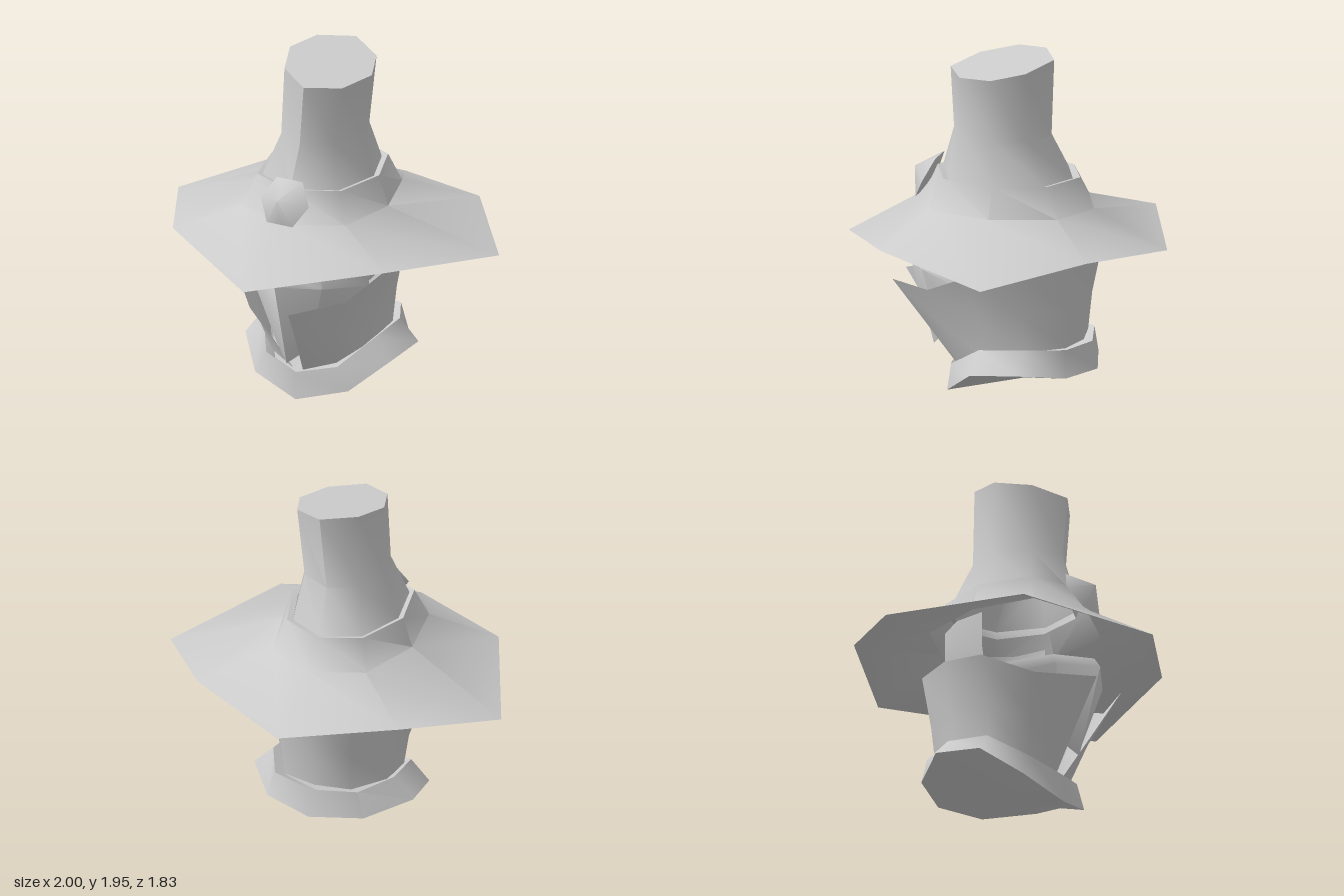
import * as THREE from 'three';
import { toCreasedNormals } from 'three/addons/utils/BufferGeometryUtils.js';

const material = new THREE.MeshStandardMaterial({ color: 0xcccccc, side: THREE.DoubleSide });

// Mirror a half outline (front to back, x >= 0); joins where x is 0 at its end, else at its start
function mirror(half, shift = 0) {
  const other = half.map(([x, y, z]) => [-x, y, z]).reverse();
  const joinsAtBack = half[half.length - 1][0] === 0;
  const full = joinsAtBack ? [...half, ...other.slice(1)] : [...other, ...half.slice(1)];
  return full.map(([x, y, z]) => [x + shift, y, z]);
}

// Same outline drawn in or out and moved vertically
const inset = (ring, s, dy) => ring.map(([x, y, z]) => [x * s, y + dy, z * s]);

// Skin between cross-sections listed bottom to top, with optional centre points closing the ends
function loft(name, rings, { bottom, top, crease = 0.9 } = {}) {
  const all = [...rings];
  if (bottom) all.unshift(rings[0].map(() => bottom));
  if (top) all.push(rings[0].map(() => top));
  const n = all[0].length;
  const index = [];
  for (let r = 0; r < all.length - 1; r++) {
    for (let i = 0; i < n - 1; i++) {
      const a = r * n + i, d = a + n;
      if (!(bottom && r === 0)) index.push(a, a + 1, d);
      if (!(top && r === all.length - 2)) index.push(a + 1, d + 1, d);
    }
  }
  const geometry = new THREE.BufferGeometry();
  geometry.setAttribute('position', new THREE.Float32BufferAttribute(all.flat(2), 3));
  geometry.setIndex(index);
  const mesh = new THREE.Mesh(toCreasedNormals(geometry, crease), material);
  mesh.name = name;
  return mesh;
}

export function createModel() {
  const model = new THREE.Group();
  model.name = 'hatAndCollar';

  // Wide drooping brim rising into the hat band, with a lip turned inside
  const bandTop = mirror([[0, 1.27, 0.4], [0.26, 1.27, 0.28], [0.335, 1.27, -0.02], [0.23, 1.27, -0.31], [0, 1.27, -0.42]]);
  model.add(loft('brimAndBand', [
    mirror([[0, 0.85, 0.91], [0.66, 0.95, 0.51], [1, 0.875, -0.17], [0.61, 0.97, -0.655], [0, 0.9, -0.92]]),
    mirror([[0, 1.1, 0.5], [0.32, 1.1, 0.34], [0.39, 1.1, -0.02], [0.28, 1.1, -0.38], [0, 1.1, -0.5]]),
    bandTop,
    inset(bandTop, 0.9, -0.01),
    inset(bandTop, 0.86, -0.06),
  ]));

  // Flared crown leaning to one side, cut off at a slant
  const slant = ([x, , z]) => [x, 1.895 - 0.13 * (x - 0.05) - 0.15 * z, z];
  model.add(loft('crown', [
    mirror([[0, 1.25, 0.375], [0.24, 1.25, 0.26], [0.305, 1.25, -0.02], [0.21, 1.25, -0.29], [0, 1.25, -0.38]], -0.005),
    mirror([[0, 1.5, 0.3], [0.17, 1.5, 0.2], [0.235, 1.5, 0], [0.17, 1.5, -0.18], [0, 1.5, -0.26]], 0.015),
    mirror([[0, 0, 0.31], [0.18, 0, 0.2], [0.255, 0, 0], [0.185, 0, -0.18], [0, 0, -0.285]], 0.045).map(slant),
  ], { top: slant([0.045, 0, 0]) }));

  // Six-sided badge on the front of the band
  model.add(loft('badge', [
    mirror([[0, 1.1, 0.5], [0.08, 1.1, 0.5], [0.15, 1.21, 0.44], [0.08, 1.325, 0.385], [0, 1.325, 0.385]]),
  ], { top: [0, 1.25, 0.53], bottom: [0, 1.2, 0.42], crease: 1.2 }));

  // Half shell at the back of the head
  const headRing = (y, s) => mirror([[0.3, y, -0.02], [0.28, y, -0.2], [0.18, y, -0.35], [0, y, -0.41]])
    .map(([x, h, z]) => [x * s, h, -0.02 + (z + 0.02) * s]);
  model.add(loft('headBack', [headRing(0.6, 0.8), headRing(0.8, 0.9), headRing(0.93, 1), headRing(1.12, 1)]));

  // Pointed face cover behind the collar opening
  model.add(loft('faceCover', [
    mirror([[0, 0.25, 0.42], [0.1, 0.33, 0.35], [0.26, 0.4, 0.14]]),
    mirror([[0, 0.75, 0.56], [0.22, 0.73, 0.42], [0.36, 0.68, 0.14]]),
    mirror([[0, 0.81, 0.52], [0.2, 0.795, 0.39], [0.36, 0.745, 0.15]]),
  ]));

  // Tall collar, open at the front and spreading upwards
  model.add(loft('collar', [
    mirror([[0.03, 0.17, 0.29], [0.2, 0.22, 0.22], [0.31, 0.3, 0.04], [0.32, 0.34, -0.2], [0.2, 0.35, -0.4], [0, 0.35, -0.44]]),
    mirror([[0.08, 0.41, 0.46], [0.26, 0.43, 0.28], [0.34, 0.51, 0.05], [0.345, 0.55, -0.2], [0.21, 0.56, -0.42], [0, 0.57, -0.475]]),
    mirror([[0.12, 0.63, 0.62], [0.33, 0.65, 0.35], [0.45, 0.78, 0.08], [0.4, 0.83, -0.2], [0.24, 0.86, -0.46], [0, 0.87, -0.54]]),
  ]));

  // Sloping neck ring closed underneath
  const neckTop = mirror([[0, 0.16, 0.315], [0.22, 0.21, 0.25], [0.35, 0.34, 0.05], [0.365, 0.365, -0.2], [0.25, 0.355, -0.42], [0, 0.345, -0.49]]);
  model.add(loft('neckRing', [
    mirror([[0, 0, 0.32], [0.29, 0.08, 0.25], [0.45, 0.22, 0.07], [0.48, 0.25, -0.2], [0.29, 0.205, -0.43], [0, 0.19, -0.52]]),
    neckTop,
    inset(neckTop, 0.85, -0.04),
  ], { bottom: [0, 0.1, -0.1] }));

  return model;
}
